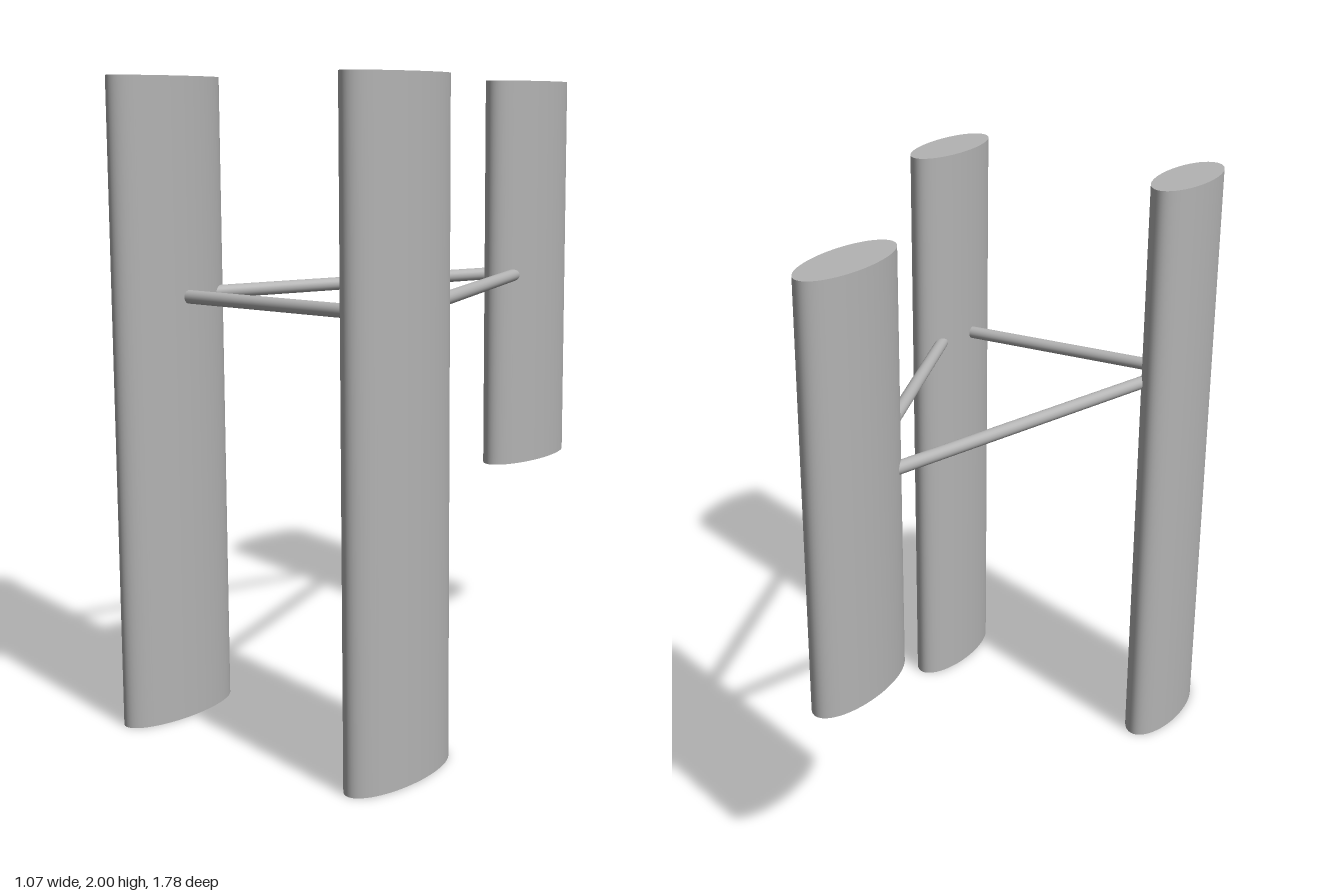
import * as THREE from 'three';

export function createModel() {
  const model = new THREE.Group();
  const grey = new THREE.MeshStandardMaterial({ color: 0xb3b3b3 });
  grey.name = 'grey';

  const strutY = 1.335;

  // Upright with an elliptical cross-section, long axis front to back
  function addColumn(name, x, z, bottom) {
    const height = 2 - bottom;
    const geometry = new THREE.CylinderGeometry(1, 1, height, 64);
    geometry.scale(0.089, 1, 0.222);
    const column = new THREE.Mesh(geometry, grey);
    column.name = name;
    column.position.set(x, bottom + height / 2, z);
    model.add(column);
    return new THREE.Vector3(x, strutY, z);
  }

  // Thin round bar joining two column centres
  function addStrut(name, from, to) {
    const direction = to.clone().sub(from);
    const geometry = new THREE.CylinderGeometry(0.021, 0.021, direction.length(), 24);
    const strut = new THREE.Mesh(geometry, grey);
    strut.name = name;
    strut.position.copy(from).add(to).multiplyScalar(0.5);
    strut.quaternion.setFromUnitVectors(new THREE.Vector3(0, 1, 0), direction.normalize());
    model.add(strut);
  }

  // Two full-height front columns and a shorter rear one
  const left = addColumn('leftColumn', 0.444, 0.667, 0);
  const right = addColumn('rightColumn', -0.444, 0.667, 0);
  const rear = addColumn('rearColumn', 0, -0.667, 0.667);

  // Triangle of struts
  addStrut('frontStrut', right, left);
  addStrut('leftStrut', left, rear);
  addStrut('rightStrut', right, rear);

  return model;
}
